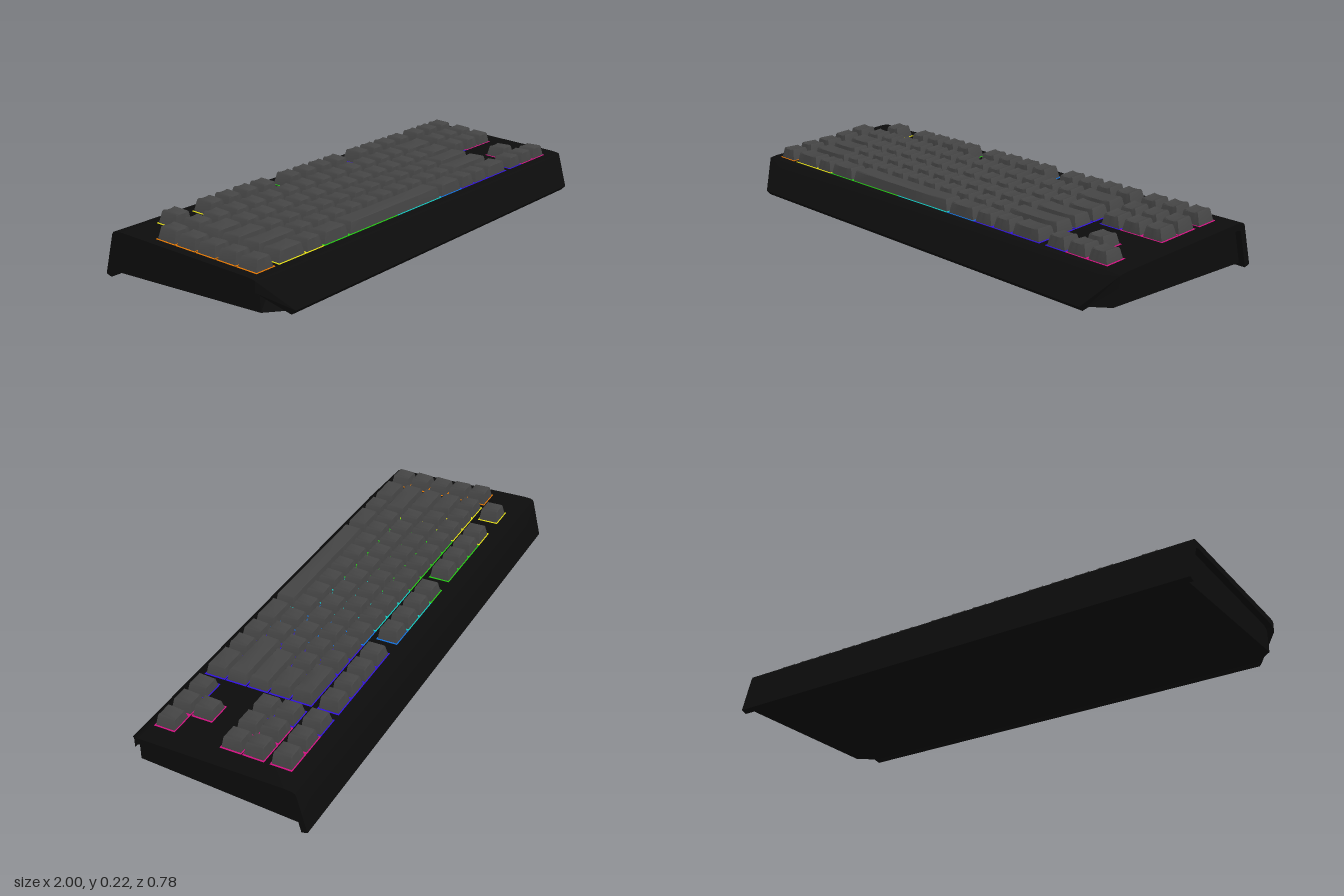
import * as THREE from 'three';
import { toCreasedNormals } from 'three/addons/utils/BufferGeometryUtils.js';

const material = (name, color) => {
  const m = new THREE.MeshStandardMaterial({ color });
  m.name = name;
  return m;
};

const SLOPE = 0.068;                       // fall of the deck towards the front
const deckY = (z) => 0.137 + (0.26 - z) * SLOPE;
const UNIT = 0.0968;                       // pitch of a one-unit key
const MAIN_X = -0.848, MACRO_X = -0.962, CLUSTER_X = 0.63;

// Extrude a (z, y) profile along x, with a rule that reshapes the end sections
function profileBody(points, halfWidth, rule) {
  const shape = new THREE.Shape(points.map(([z, y]) => new THREE.Vector2(-z, y)));
  const geo = new THREE.ExtrudeGeometry(shape, { depth: 2, steps: 3, bevelEnabled: false });
  geo.translate(0, 0, -1).rotateY(Math.PI / 2);
  const p = geo.attributes.position;
  for (let i = 0; i < p.count; i++) {
    const x = p.getX(i), s = Math.sign(x);
    if (Math.abs(x) < 0.5) p.setX(i, s * 0.905);
    else {
      p.setX(i, s * halfWidth);
      const [z, y] = rule(p.getZ(i), p.getY(i));
      p.setZ(i, z);
      p.setY(i, y);
    }
  }
  return toCreasedNormals(geo, 0.45);
}

// Tapered keycap with a dished top and softened upper edge
function keycapGeometry(w, d, z0, top, tilt, skew) {
  const geo = new THREE.BoxGeometry(w, 1, d, 6, 2, 2);
  const p = geo.attributes.position;
  for (let i = 0; i < p.count; i++) {
    const level = p.getY(i) + 0.5;
    const t = level === 0.5 ? 0.9 : level;
    const inset = t * 0.024 + (level === 1 ? 0.006 : 0);
    const u = p.getX(i) / (w / 2);
    const x = p.getX(i) * (1 - inset / w);
    const z = p.getZ(i) * (1 - (t * 0.013 + (level === 1 ? 0.004 : 0)) / d) + skew * t;
    const topY = top - tilt * z / d - (level === 1 ? 0.004 * (1 - u * u) : 0);
    const base = deckY(z0 + z) - 0.002;
    p.setXYZ(i, x, base + (topY - base) * t, z);
  }
  return toCreasedNormals(geo, 0.6);
}

export function createModel() {
  const model = new THREE.Group();
  model.name = 'keyboard';
  const caseMat = material('black case', 0x0c0c0c);
  const keyMat = material('dark grey keys', 0x444444);
  // Backlight colours, each used up to the given x
  const glow = [
    [-0.85, material('orange light', 0xe87800)],
    [-0.6, material('yellow light', 0xe6e010)],
    [-0.17, material('green light', 0x22cc10)],
    [0.08, material('cyan light', 0x10c8c0)],
    [0.26, material('blue light', 0x1070e0)],
    [0.7, material('indigo light', 0x3010e0)],
    [9, material('magenta light', 0xd01080)],
  ];
  const add = (parent, geo, mat, name, x = 0, y = 0, z = 0) => {
    const mesh = new THREE.Mesh(geo, mat);
    mesh.name = name;
    mesh.position.set(x, y, z);
    parent.add(mesh);
    return mesh;
  };

  // Outer shell: a folded sheet over front, top and back, cut at the front corners
  const shell = [
    [0.388, 0.02], [0.37, 0.002], [0.358, 0.016], [0.29, 0.104], [0.27, 0.112],
    [-0.31, 0.15], [-0.328, 0.145], [-0.364, 0.002], [-0.388, 0.01],
    [-0.349, 0.16], [-0.344, 0.17], [-0.333, 0.175], [-0.30, 0.175],
    [0.26, 0.137], [0.285, 0.134], [0.3, 0.128], [0.312, 0.117],
  ].reverse();
  add(model, profileBody(shell, 1,
    (z, y) => (z > 0.3 ? [0.3, Math.min(0.13, y + (z - 0.3) * 1.25)] : [z, y])),
  caseMat, 'outerShell');

  // Inner body closing the sides and the bottom
  const inner = [[0.36, 0.014], [-0.362, 0.014], [-0.328, 0.15], [-0.31, 0.16], [0.27, 0.12], [0.295, 0.106]].reverse();
  add(model, profileBody(inner.reverse(), 0.975, (z, y) => [Math.min(z, 0.3), y]), caseMat, 'innerBody');

  const keys = new THREE.Group();
  keys.name = 'keys';
  const lights = new THREE.Group();
  lights.name = 'backlight';
  model.add(keys, lights);

  const ones = (n) => Array(n).fill(1);
  // Rows from back to front: centre, top height, top tilt, lean, runs of key widths
  const cluster = [CLUSTER_X, ones(3)], macro = [MACRO_X, [1]];
  const at = (units) => MAIN_X + units * UNIT;
  const rows = [
    { z: -0.242, top: 0.219, tilt: 0.006, skew: 0.003,
      runs: [[at(0), [1]], [at(1.83), ones(4)], [at(6.43), ones(4)], [at(11), ones(4)], cluster] },
    { z: -0.133, top: 0.211, tilt: 0.007, skew: 0.002, runs: [macro, [at(0), [...ones(13), 2]], cluster] },
    { z: -0.043, top: 0.201, tilt: 0.006, skew: 0.002, runs: [macro, [at(0), [1.5, ...ones(12), 1.5]], cluster] },
    { z: 0.048, top: 0.193, tilt: 0, skew: 0, runs: [macro, [at(0), [1.75, ...ones(11), 2.25]]] },
    { z: 0.139, top: 0.188, tilt: 0, skew: 0,
      runs: [macro, [at(0), [2.25, ...ones(10), 2.75]], [CLUSTER_X + UNIT, [1]]] },
    { z: 0.229, top: 0.181, tilt: 0, skew: 0,
      runs: [macro, [at(0), [1.5, 1, 1.5, 6, 1.5, 1, 1, 1.5]], cluster] },
  ];
  const DEPTH = 0.079;

  for (const { z, top, tilt, skew, runs } of rows) {
    for (const [start, widths] of runs) {
      let x = start;
      for (const n of widths) {
        const cell = n * UNIT, cx = x + cell / 2;
        add(keys, keycapGeometry(cell - 0.012, DEPTH, z, top, tilt, skew), keyMat,
          n > 4 ? 'spaceBar' : 'keycap', cx, 0, z);
        // Thin light plate showing as a line in the gaps; long keys carry two colours
        const parts = n > 4 ? 2 : 1;
        for (let i = 0; i < parts; i++) {
          const px = x + cell * (i + 0.5) / parts;
          const mat = glow.find(([limit]) => px < limit)[1];
          const plate = add(lights, new THREE.BoxGeometry(cell / parts - (parts > 1 ? 0 : 0.001), 0.004, DEPTH + 0.008),
            mat, 'lightPlate', px, deckY(z) - 0.001, z);
          plate.rotation.x = Math.atan(SLOPE);
        }
        x += cell;
      }
    }
  }
  return model;
}
